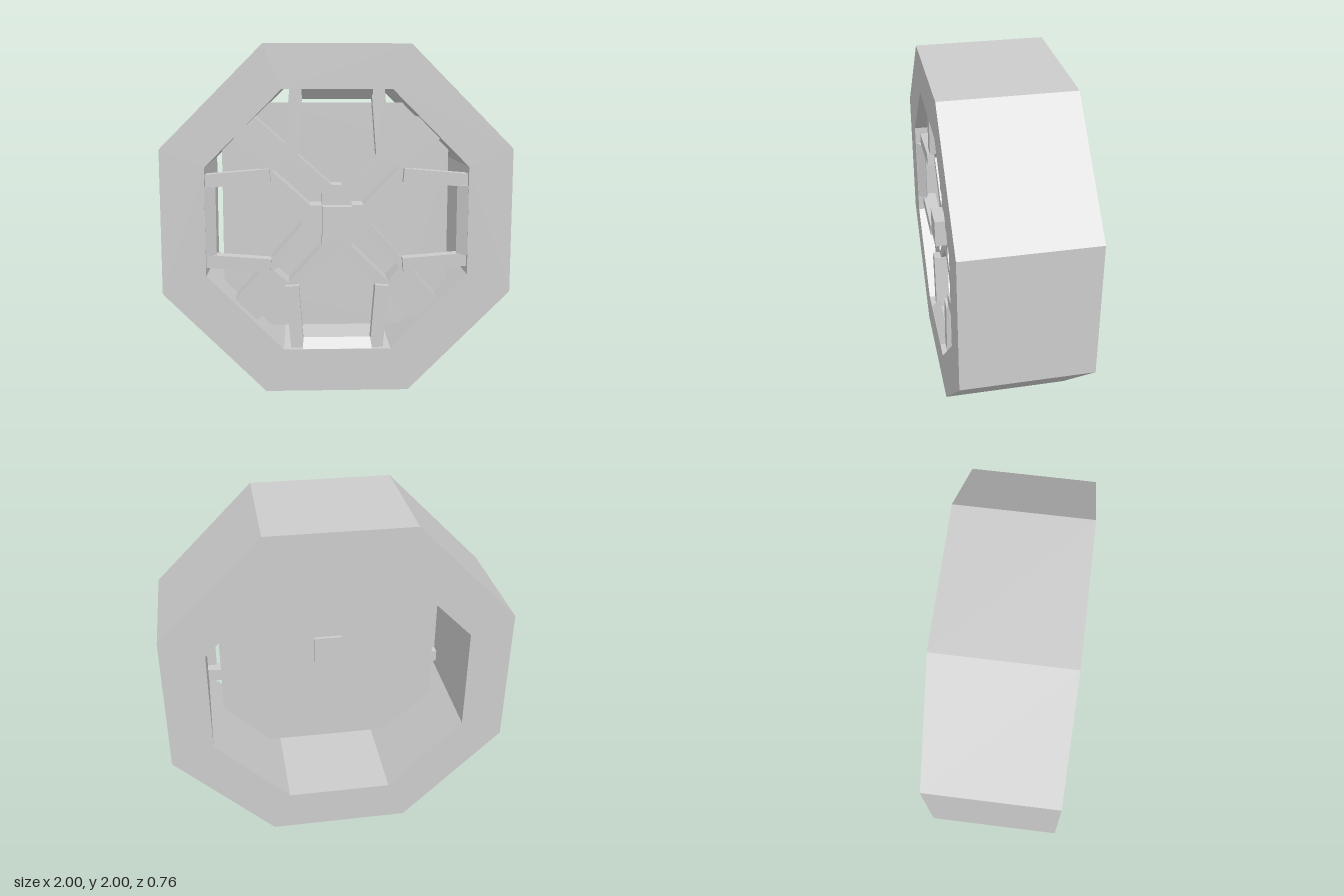
import * as THREE from 'three';

const grey = new THREE.MeshStandardMaterial({ color: 0xcccccc, flatShading: true, side: THREE.DoubleSide });
const rotate = ([x, y], a) => new THREE.Vector2(
  x * Math.cos(a) - y * Math.sin(a), x * Math.sin(a) + y * Math.cos(a));

// Octagon with flat sides on the axes, given centre-to-side distance
const octagon = (apothem) => Array.from({ length: 8 }, (_, i) =>
  rotate([apothem / Math.cos(Math.PI / 8), 0], Math.PI / 8 + i * Math.PI / 4));

// Flat outline (with optional holes) extruded between two depths
function plate(name, points, z0, z1, holes = []) {
  const shape = new THREE.Shape(points);
  for (const h of holes) shape.holes.push(new THREE.Path(h));
  const geo = new THREE.ExtrudeGeometry(shape, { depth: z1 - z0, bevelEnabled: false });
  geo.translate(0, 0, z0);
  const mesh = new THREE.Mesh(geo, grey);
  mesh.name = name;
  return mesh;
}

export function createModel() {
  const wheel = new THREE.Group();
  wheel.name = 'wheel';
  wheel.position.y = 1;

  // Octagonal tyre
  wheel.add(plate('tyre', octagon(1), -0.378, 0.378, [octagon(0.75)]));

  // Backing disc: its diagonal sides reach the tyre, the others leave a gap
  const disc = [];
  const spider = [];
  const slots = [];
  for (let k = 0; k < 4; k++) {
    const a = k * Math.PI / 2;
    disc.push(rotate([0.67, 0.39], a), rotate([0.39, 0.67], a));
    // Tapered diagonal spoke and the slot beside the hub
    for (const p of [[0.163, -0.122], [0.755, -0.088], [0.755, 0.088], [0.163, 0.122]])
      spider.push(rotate(p, a + Math.PI / 4));
    slots.push([[0.085, 0.085], [0.155, 0.085], [0.365, 0.3], [0.28, 0.37], [0.085, 0.155]]
      .map((p) => rotate(p, a)));
  }
  wheel.add(plate('backingDisc', disc, 0.1, 0.13));
  wheel.add(plate('spokes', spider, 0.13, 0.3, slots));

  // Hub block, running through the disc
  const hub = new THREE.Mesh(new THREE.BoxGeometry(0.17, 0.17, 0.29), grey);
  hub.name = 'hub';
  hub.position.z = 0.225;
  wheel.add(hub);

  for (let k = 0; k < 4; k++) {
    const side = new THREE.Group();
    side.name = 'rimSide';
    side.rotation.z = k * Math.PI / 2;

    // Pair of slightly splayed bars reaching in from the rim
    for (const s of [-1, 1]) {
      side.add(plate('rimBar', [[0.193, 0.755], [0.268, 0.755], [0.3, 0.385], [0.222, 0.379]]
        .map(([x, y]) => new THREE.Vector2(s * x, y)), 0.26, 0.345));
    }

    // Sloped lip between the bars: wedge profile swept along the side
    const lip = plate('rimLip', [[-0.375, 0.755], [-0.375, 0.75], [-0.325, 0.693], [-0.315, 0.755]]
      .map((p) => new THREE.Vector2(...p)), -0.2, 0.2);
    lip.rotation.y = Math.PI / 2;
    side.add(lip);
    wheel.add(side);
  }

  const model = new THREE.Group();
  model.name = 'octagonalWheel';
  model.add(wheel);
  return model;
}
